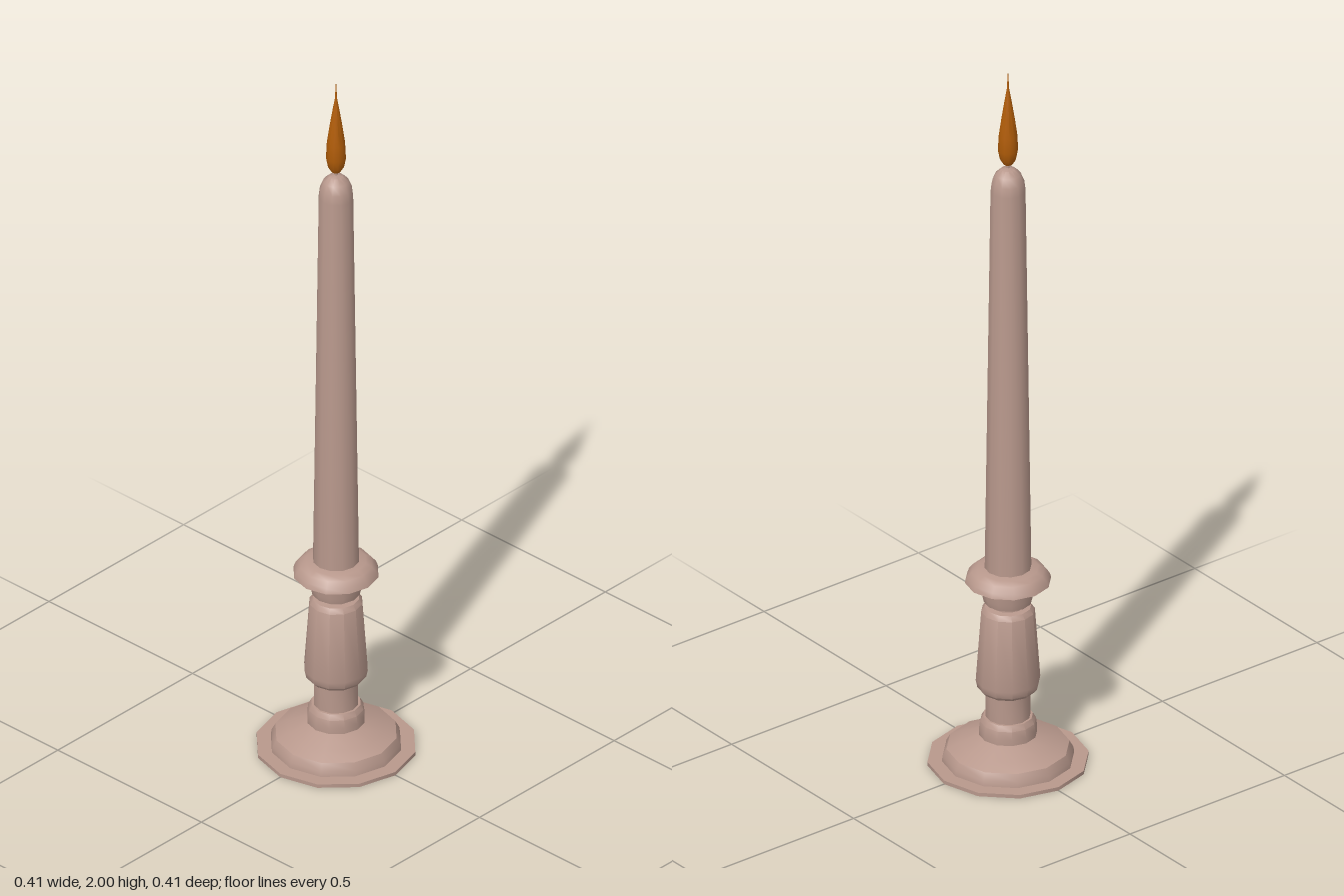
import * as THREE from 'three';
import { toCreasedNormals } from 'three/addons/utils/BufferGeometryUtils.js';

const SIDES = 12;

export function createModel() {
  const model = new THREE.Group();
  model.name = 'candlestick';
  const body = new THREE.MeshStandardMaterial({ color: 0xb8988c });
  const fire = new THREE.MeshStandardMaterial({ color: 0xb05c08 });

  // Turned part from a [radius, height] profile, listed bottom to top
  const turn = (name, profile, material) => {
    const points = profile.map(([r, y]) => new THREE.Vector2(r, y));
    const geometry = toCreasedNormals(new THREE.LatheGeometry(points, SIDES), 0.62);
    const mesh = new THREE.Mesh(geometry, material);
    mesh.name = name;
    model.add(mesh);
  };

  // Thin foot plate
  turn('footPlate', [[0, 0], [0.207, 0], [0.207, 0.01], [0, 0.01]], body);

  // Domed base with a collar
  turn('base', [
    [0.17, 0.01], [0.168, 0.025], [0.158, 0.044], [0.125, 0.06], [0.075, 0.08],
    [0.075, 0.095], [0.072, 0.118], [0.064, 0.132], [0.058, 0.132],
  ], body);

  // Stem, flared grip, pinched neck and socket
  turn('stem', [
    [0.058, 0.13], [0.058, 0.208], [0.07, 0.208], [0.079, 0.218], [0.083, 0.238],
    [0.069, 0.435], [0.06, 0.448], [0.044, 0.45], [0.044, 0.463], [0.062, 0.463],
    [0.066, 0.48], [0.068, 0.522],
  ], body);

  // Drip pan
  turn('dripPan', [
    [0.05, 0.522], [0.111, 0.522], [0.106, 0.536], [0.094, 0.55], [0.078, 0.559], [0.05, 0.562],
  ], body);

  // Tapered candle with a rounded tip
  turn('candle', [
    [0.06, 0.555], [0.045, 1.65], [0.042, 1.675], [0.033, 1.698], [0.018, 1.712], [0, 1.717],
  ], body);

  // Wick
  turn('wick', [[0.004, 1.71], [0.004, 1.74]], body);

  // Teardrop flame
  turn('flame', [
    [0, 1.722], [0.012, 1.727], [0.021, 1.742], [0.026, 1.768], [0.024, 1.81],
    [0.017, 1.86], [0.009, 1.91], [0.003, 1.945], [0, 2],
  ], fire);

  return model;
}
